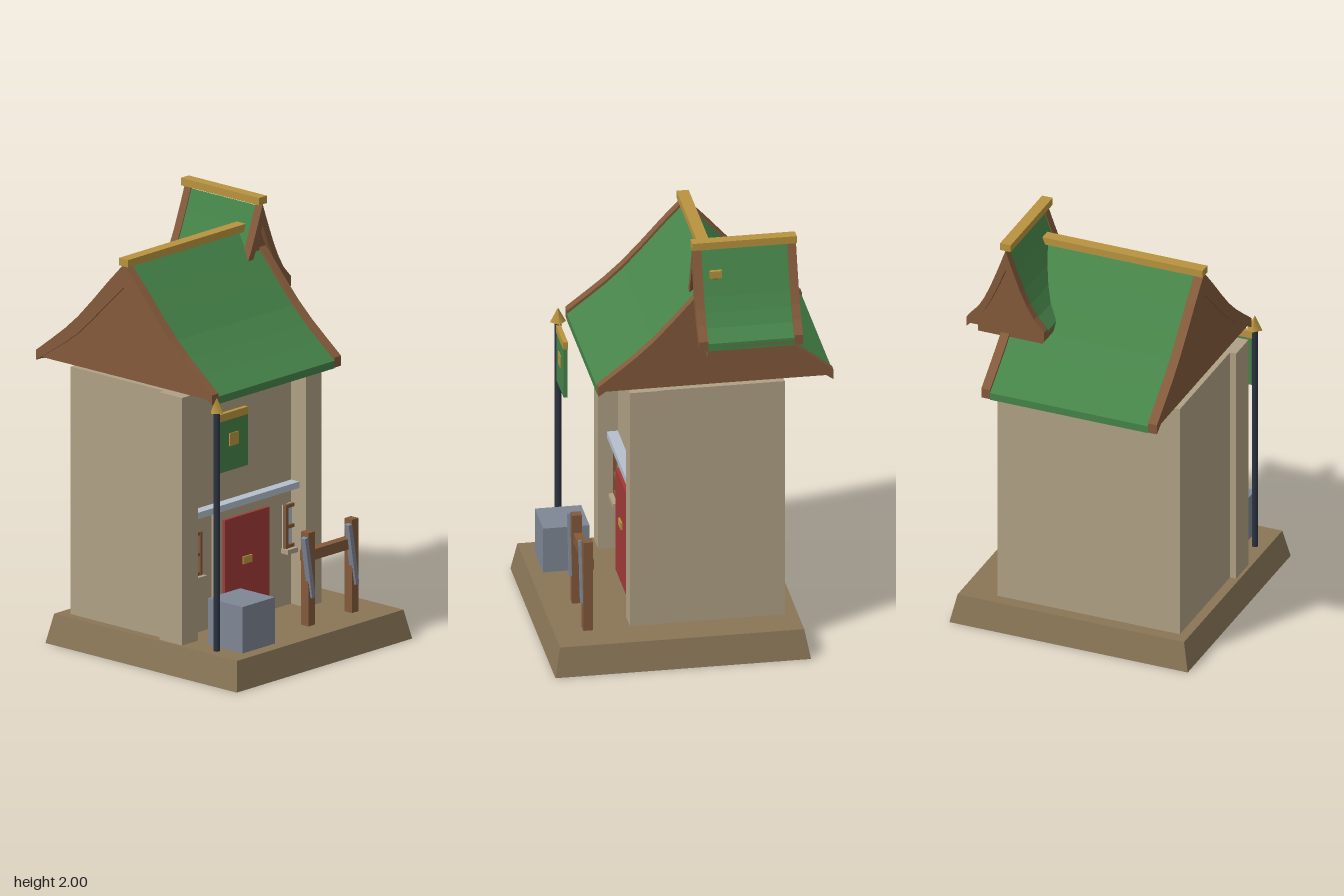
import * as THREE from 'three';

const mat = (name, color) => Object.assign(new THREE.MeshStandardMaterial({ color }), { name });

export function createModel() {
  const model = new THREE.Group();
  model.name = 'smallHouse';
  const stone = mat('wallPlaster', 0xb0a185);
  const earth = mat('baseEarth', 0x8a7657);
  const green = mat('roofGreen', 0x468449);
  const wood = mat('timber', 0x835a3b);
  const gold = mat('gold', 0xb9943f);
  const red = mat('doorRed', 0xa03a37);
  const grey = mat('crateGrey', 0x7e8795);
  const pale = mat('paleGlass', 0xb4c0cd);
  const dark = mat('poleDark', 0x2c3441);

  const add = (name, geometry, material) => {
    const mesh = new THREE.Mesh(geometry, material);
    mesh.name = name;
    model.add(mesh);
    return mesh;
  };
  // Box given by its minimum and maximum on each axis
  const box = (name, material, x0, x1, y0, y1, z0, z1) => {
    const mesh = add(name, new THREE.BoxGeometry(x1 - x0, y1 - y0, z1 - z0), material);
    mesh.position.set((x0 + x1) / 2, (y0 + y1) / 2, (z0 + z1) / 2);
    return mesh;
  };

  // Symmetric outlines: profile is [distance from ridge, height, thickness]
  const outline = (top, bottom) => {
    const mirrored = (p) => [...p.slice(1).reverse().map(([s, y]) => [-s, y]), ...p];
    const points = [...mirrored(top), ...mirrored(bottom).reverse()];
    return new THREE.Shape(points.map(([s, y]) => new THREE.Vector2(s, y)));
  };
  const shell = (profile, drop, thick) => outline(
    profile.map(([s, y]) => [s, y - drop]),
    profile.map(([s, y, t]) => [s, y - drop - (thick ?? t)]));
  const gable = (profile, drop, floor) => {
    const top = profile.map(([s, y]) => [s, y - drop]);
    const end = top[top.length - 1][0];
    return outline(top, [[0, floor], [end, floor - 0.001]]);
  };
  const extrude = (shape, from, to) =>
    new THREE.ExtrudeGeometry(shape, { depth: to - from, bevelEnabled: false, steps: 1 }).translate(0, 0, from);

  // Tapered base
  const baseGeo = new THREE.BoxGeometry(1.17, 0.137, 1.17);
  const pos = baseGeo.attributes.position;
  for (let i = 0; i < pos.count; i++) {
    if (pos.getY(i) > 0) pos.setXYZ(i, pos.getX(i) * 0.95, pos.getY(i), pos.getZ(i) * 0.955);
  }
  baseGeo.computeVertexNormals();
  add('base', baseGeo, earth).position.set(0, 0.0685, 0.07);

  // House body with corner pillars and a recessed front wall
  const floor = 0.137;
  box('body', stone, -0.51, 0.385, floor, 1.3, -0.43, 0.15);
  box('frontWall', stone, -0.44, 0.29, floor, 1.3, 0.14, 0.19);
  box('leftPillar', stone, 0.285, 0.39, floor, 1.3, 0.14, 0.28);
  box('rightPillar', stone, -0.54, -0.435, floor, 1.3, 0.14, 0.28);

  // Door and lintel
  box('doorSurround', stone, -0.245, 0.12, floor, 0.7, 0.18, 0.225);
  box('door', red, -0.21, 0.085, floor, 0.645, 0.2, 0.24);
  box('doorHandle', gold, -0.095, -0.035, 0.415, 0.45, 0.24, 0.248);
  box('lintel', pale, -0.436, 0.286, 0.69, 0.72, 0.18, 0.24);

  // Windows, partly tucked behind the pillars
  for (const [x0, x1] of [[-0.45, -0.33], [0.225, 0.345]]) {
    box('windowPane', pale, x0, x1, 0.41, 0.615, 0.19, 0.196);
    for (const x of [x0, x1 - 0.016]) box('windowPost', wood, x, x + 0.016, 0.41, 0.615, 0.18, 0.213);
    for (const y of [0.41, 0.502, 0.599]) box('windowBar', wood, x0, x1, y, y + 0.016, 0.18, 0.211);
    box('windowSill', stone, x0 - 0.008, x1 + 0.008, 0.388, 0.41, 0.18, 0.232);
  }

  // Main roof, ridge running along x
  const main = [[0, 1.84, 0.11], [0.1, 1.735, 0.1], [0.19, 1.635, 0.09], [0.28, 1.54, 0.08],
    [0.36, 1.468, 0.068], [0.44, 1.405, 0.057], [0.538, 1.33, 0.047]];
  const mainPart = (name, shape, from, to, material) => {
    add(name, extrude(shape, from, to).rotateY(Math.PI / 2), material).position.z = -0.118;
  };
  mainPart('roofSlopes', shell(main, 0.015, 0.035), -0.45, 0.325, green);
  for (const [a, b] of [[-0.495, -0.45], [0.325, 0.367]]) mainPart('bargeBoard', shell(main, 0), a, b, wood);
  mainPart('rightGable', gable(main, 0.028, 1.301), -0.485, -0.13, wood);
  mainPart('leftGable', gable(main, 0.028, 1.301), 0.28, 0.355, wood);
  box('ridgeBeam', gold, -0.498, 0.369, 1.83, 1.865, -0.145, -0.09);

  // Small cross roof, ridge running along z
  const small = [[0, 1.965, 0.1], [0.035, 1.868, 0.09], [0.075, 1.765, 0.075], [0.105, 1.7, 0.065],
    [0.14, 1.64, 0.055], [0.19, 1.585, 0.047]];
  const smallPart = (name, shape, from, to, material) => {
    add(name, extrude(shape, from, to), material).position.x = 0.32;
  };
  smallPart('dormerSlopes', shell(small, 0.012, 0.036), -0.452, -0.058, green);
  for (const [a, b] of [[-0.492, -0.452], [-0.058, -0.016]]) smallPart('dormerBargeBoard', shell(small, 0), a, b, wood);
  smallPart('dormerGable', gable(small, 0.026, 1.54), -0.465, -0.04, wood);
  box('dormerBox', wood, 0.16, 0.48, 1.49, 1.57, -0.435, -0.062);
  box('dormerRidgeBeam', gold, 0.294, 0.346, 1.965, 2, -0.492, -0.014);

  // Banner on a pole
  add('bannerPole', new THREE.CylinderGeometry(0.015, 0.015, 1.12, 8), dark).position.set(-0.497, 0.697, 0.453);
  add('poleFinial', new THREE.ConeGeometry(0.037, 0.07, 4), gold).position.set(-0.497, 1.292, 0.453);
  box('bannerBar', gold, -0.497, -0.3, 1.21, 1.245, 0.442, 0.464);
  box('bannerCloth', green, -0.485, -0.3, 0.97, 1.21, 0.444, 0.462);
  box('bannerSquare', gold, -0.425, -0.365, 1.085, 1.145, 0.44, 0.466);

  box('crate', grey, -0.45, -0.235, floor, 0.355, 0.355, 0.567);

  // Rack with two leaning blades
  for (const x of [0.068, 0.358]) box('rackPost', wood, x, x + 0.043, floor, 0.575, 0.45, 0.495);
  box('rackRail', wood, 0.065, 0.4, 0.438, 0.488, 0.446, 0.488);
  for (const x of [0.068, 0.36]) {
    const blade = box('leaningBlade', grey, x - 0.011, x + 0.011, 0.268, 0.56, 0.478, 0.506);
    blade.rotation.z = 0.165;
  }
  return model;
}
